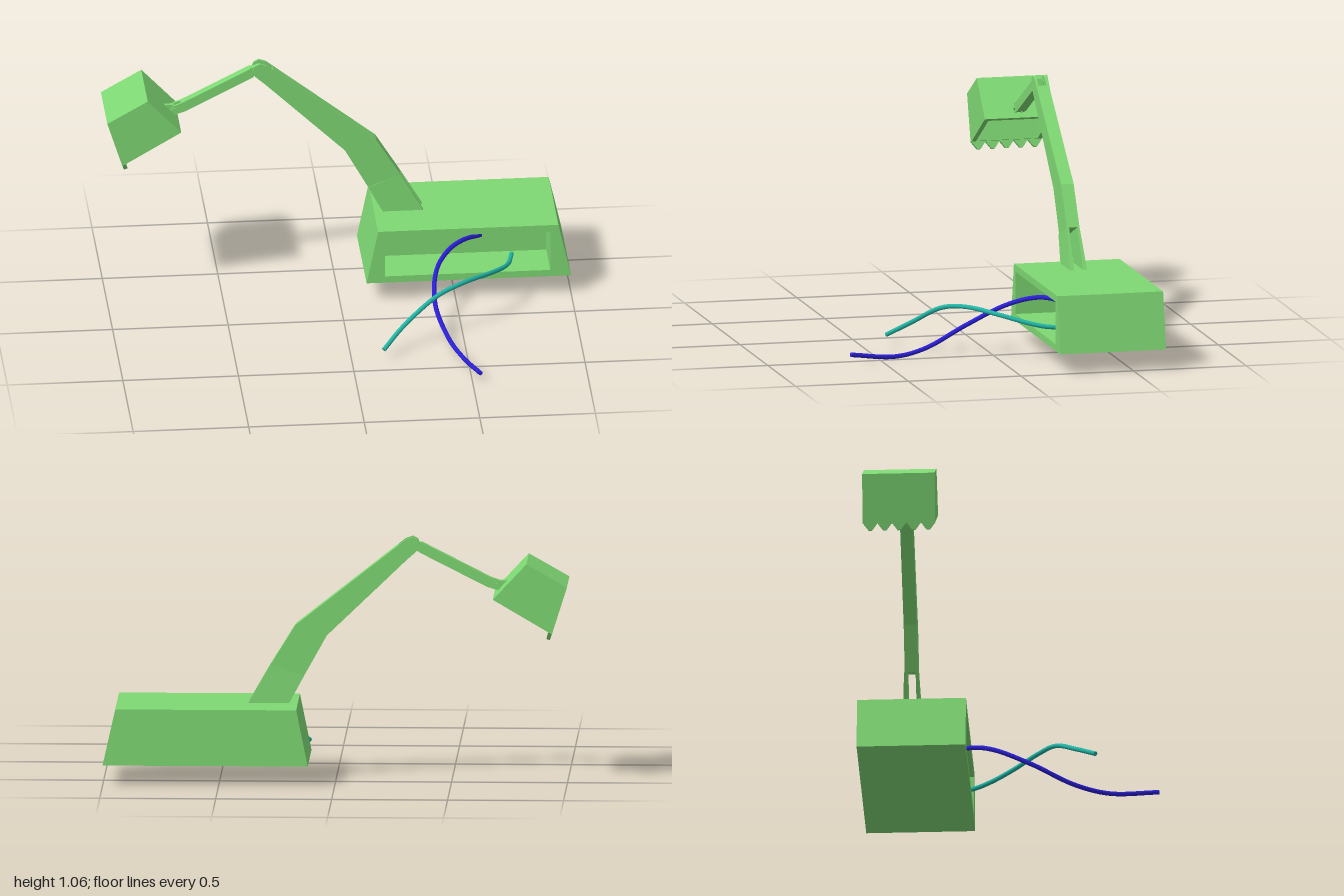
import * as THREE from 'three';

const green = new THREE.MeshStandardMaterial({ color: 0x7ed873, side: THREE.DoubleSide, flatShading: true });
const blue = new THREE.MeshStandardMaterial({ color: 0x2a1fd8 });
const teal = new THREE.MeshStandardMaterial({ color: 0x22b5a5 });
const MID = -0.41; // z of the arm's centre plane

const vecs = (pts) => pts.map(([x, y]) => new THREE.Vector2(x, y));

// Side profile extruded from z0 to z1
function plate(name, pts, z0, z1, hole) {
  const shape = new THREE.Shape(vecs(pts));
  if (hole) shape.holes.push(new THREE.Path(vecs(hole)));
  const geo = new THREE.ExtrudeGeometry(shape, { depth: z1 - z0, bevelEnabled: false });
  geo.translate(0, 0, z0);
  const mesh = new THREE.Mesh(geo, green);
  mesh.name = name;
  return mesh;
}

// Round pin lying along z
function pin(name, x, y, r, width) {
  const geo = new THREE.CylinderGeometry(r, r, width, 12).rotateX(Math.PI / 2);
  const mesh = new THREE.Mesh(geo, green);
  mesh.position.set(x, y, MID);
  mesh.name = name;
  return mesh;
}

function cable(name, pts, material) {
  const curve = new THREE.CatmullRomCurve3(pts.map((p) => new THREE.Vector3(...p)));
  const group = new THREE.Group();
  group.name = name;
  group.add(new THREE.Mesh(new THREE.TubeGeometry(curve, 60, 0.01, 10), material));
  for (const t of [0, 1]) {
    const cap = new THREE.Mesh(new THREE.CircleGeometry(0.01, 10), material);
    cap.position.copy(curve.getPoint(t));
    cap.lookAt(cap.position.clone().addScaledVector(curve.getTangent(t), t ? 1 : -1));
    group.add(cap);
  }
  return group;
}

function makeBase() {
  const base = new THREE.Group();
  base.name = 'base';
  const outline = [[0.115, 0.09], [1, 0.09], [0.945, 0.335], [0.165, 0.335]];
  const opening = [[0.195, 0.12], [0.195, 0.305], [0.91, 0.305], [0.91, 0.12]];
  base.add(plate('baseFrame', outline, -0.375, -0.175, opening));
  base.add(plate('baseBack', outline, -0.645, -0.375));
  return base;
}

function makeBoom() {
  const boom = new THREE.Group();
  boom.name = 'boom';
  boom.add(plate('boomBeam', [[0.14, 0.45], [0.28, 0.505], [0.175, 0.675], [-0.27, 1.026],
    [-0.3, 0.957], [0.04, 0.63]], MID - 0.028, MID + 0.028));
  for (const s of [-1, 1]) {
    // Splayed leg: shifts outward towards the foot
    const a = MID + s * 0.018, b = MID + s * 0.028;
    const leg = plate('boomLeg', [[0.205, 0.33], [0.38, 0.33], [0.28, 0.505], [0.14, 0.45]],
      Math.min(a, b), Math.max(a, b));
    const p = leg.geometry.attributes.position;
    for (let i = 0; i < p.count; i++) {
      const drop = Math.max(0, (0.505 - p.getY(i)) / 0.175);
      const outer = Math.abs(p.getZ(i) - MID) > 0.023;
      p.setZ(i, p.getZ(i) + s * drop * (outer ? 0.01 : 0.002));
    }
    leg.geometry.computeVertexNormals();
    boom.add(leg);
    // Lug at the boom tip
    boom.add(plate('boomLug', [[-0.27, 1.026], [-0.3, 1.05], [-0.33, 1.06], [-0.352, 1.048],
      [-0.362, 1.022], [-0.348, 1.0], [-0.3, 0.957]], Math.min(a, b), Math.max(a, b)));
  }
  boom.add(pin('elbowPin', -0.335, 1.03, 0.012, 0.056));
  return boom;
}

function makeStick() {
  const stick = new THREE.Group();
  stick.name = 'stick';
  stick.add(plate('stickBeam', [[-0.37, 1.035], [-0.67, 0.882], [-0.652, 0.844], [-0.355, 0.995]],
    MID - 0.02, MID + 0.02));
  stick.add(plate('stickTongue', [[-0.325, 1.045], [-0.37, 1.035], [-0.355, 0.995], [-0.318, 1.018]],
    MID - 0.014, MID + 0.014));
  for (const s of [-1, 1]) {
    const c = MID + s * 0.015;
    stick.add(plate('stickLug', [[-0.67, 0.882], [-0.7, 0.872], [-0.713, 0.85], [-0.698, 0.83],
      [-0.652, 0.844]], c - 0.005, c + 0.005));
  }
  stick.add(pin('wristPin', -0.695, 0.852, 0.01, 0.05));
  return stick;
}

function makeBucket() {
  const bucket = new THREE.Group();
  bucket.name = 'bucket';
  const z0 = -0.568, z1 = -0.255, t = 0.02;
  const lip = [-0.935, 0.66], heel = [-1, 0.865], crown = [-0.825, 0.965], rim = [-0.68, 0.81];
  for (const z of [z0, z1 - t]) bucket.add(plate('bucketSide', [lip, rim, crown, heel], z, z + t));
  // Three walls in one folded strip, open towards the lower rim
  bucket.add(plate('bucketShell', [lip, [-0.917, 0.671], [-0.975, 0.856], [-0.829, 0.939],
    [-0.698, 0.799], rim, crown, heel], z0 + t, z1 - t));
  // Row of pointed teeth along the lip
  const n = 5, pitch = (z1 - z0) / n;
  for (let i = 0; i < n; i++) {
    const shape = new THREE.Shape(vecs([[-pitch / 2, 0.015], [-pitch / 2, 0],
      [-0.007, -0.032], [0.007, -0.032], [pitch / 2, 0], [pitch / 2, 0.015]]));
    const geo = new THREE.ExtrudeGeometry(shape, { depth: 0.016, bevelEnabled: false });
    geo.rotateY(Math.PI / 2).rotateZ(0.3);
    const tooth = new THREE.Mesh(geo, green);
    tooth.name = 'bucketTooth';
    tooth.position.set(lip[0], lip[1] + 0.002, z0 + pitch * (i + 0.5));
    bucket.add(tooth);
  }
  // Hanger between the stick lugs
  bucket.add(plate('bucketHanger', [[-0.745, 0.872], [-0.705, 0.828], [-0.685, 0.842],
    [-0.685, 0.86], [-0.7, 0.872]], MID - 0.009, MID + 0.009));
  return bucket;
}

export function createModel() {
  const model = new THREE.Group();
  model.name = 'excavatorArm';
  model.add(makeBase(), makeBoom(), makeStick(), makeBucket());
  model.add(cable('blueCable', [[0.535, 0.04, 0.64], [0.48, 0.013, 0.43], [0.43, 0.035, 0.28],
    [0.387, 0.115, 0.1], [0.41, 0.2, -0.07], [0.475, 0.241, -0.175], [0.54, 0.25, -0.24],
    [0.62, 0.225, -0.33]], blue));
  model.add(cable('tealCable', [[0.14, 0.045, 0.385], [0.23, 0.11, 0.3], [0.385, 0.2, 0.2],
    [0.51, 0.222, 0.12], [0.635, 0.203, 0], [0.7, 0.178, -0.1], [0.73, 0.163, -0.175],
    [0.75, 0.158, -0.27]], teal));
  return model;
}
